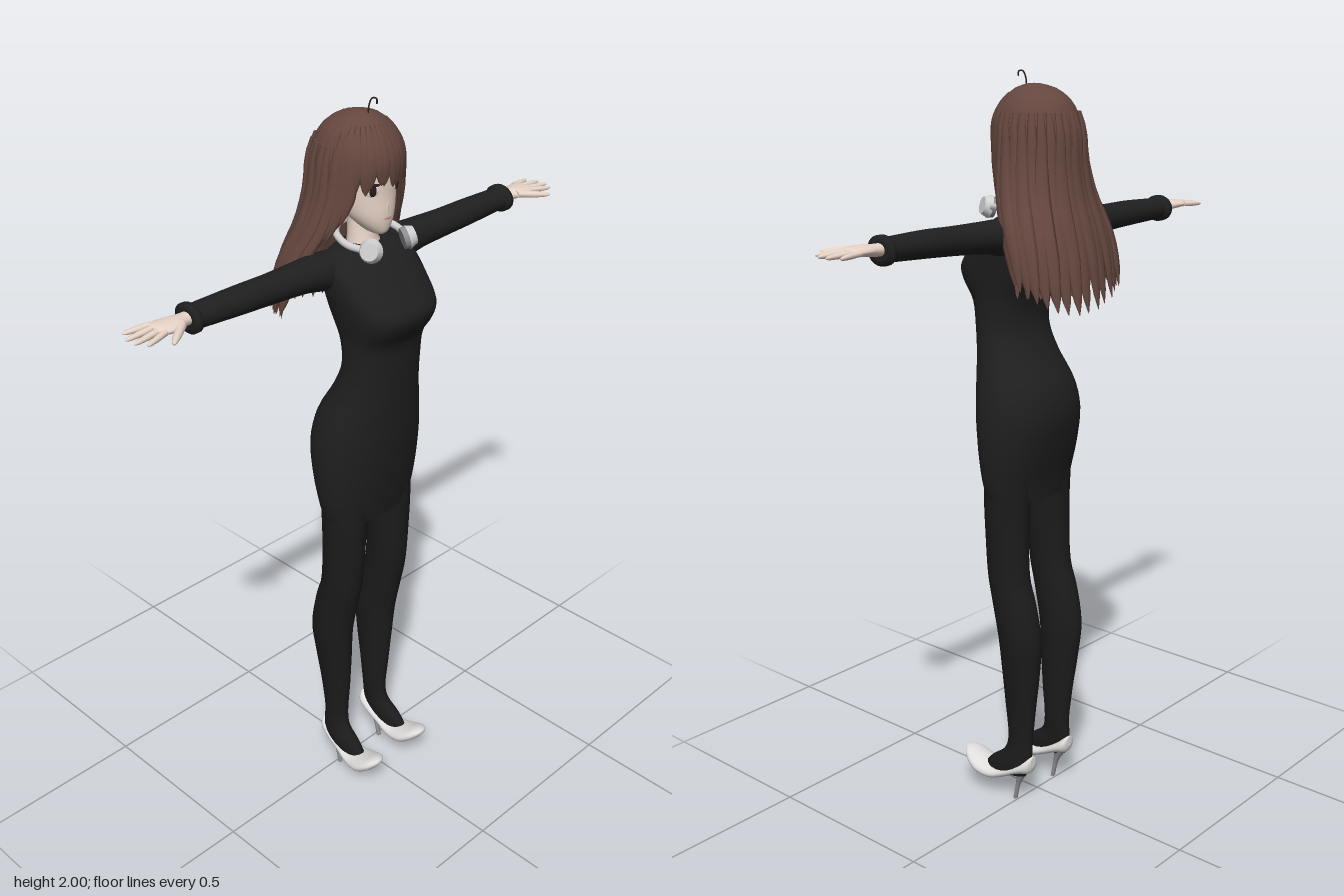
import * as THREE from 'three';

const mat = (name, color, side = THREE.FrontSide) => {
  const m = new THREE.MeshStandardMaterial({ color, side });
  m.name = name;
  return m;
};

// Catmull-Rom refinement of a table of section rows
function smooth(rows, k = 4) {
  const out = [], at = i => rows[Math.max(0, Math.min(rows.length - 1, i))];
  for (let i = 0; i < rows.length - 1; i++) for (let s = 0; s < k; s++) {
    const t = s / k, [p, a, b, n] = [at(i - 1), at(i), at(i + 1), at(i + 2)];
    out.push(a.map((v, c) => v + 0.5 * t * (b[c] - p[c] + t * (2 * p[c] - 5 * v + 4 * b[c] - n[c]
      + t * (3 * (v - b[c]) + n[c] - p[c])))));
  }
  out.push(rows[rows.length - 1]);
  return out;
}

// Skin through cross-sections: fn(row, angle) gives a point; closed rings get end caps
function loft(rows, n, fn, closed = true) {
  let rings = rows.map((r, i) => Array.from({ length: n }, (_, j) =>
    fn(r, closed ? j / n * Math.PI * 2 : j / (n - 1), i)));
  if (closed) {
    const centre = ring => {
      const c = [0, 1, 2].map(k => ring.reduce((s, p) => s + p[k], 0) / n);
      return ring.map(() => c);
    };
    const a = rings[0], b = rings[rings.length - 1];
    rings = [centre(a), a, ...rings, b, centre(b)];
  }
  const index = [];
  for (let i = 0; i < rings.length - 1; i++) for (let j = 0; j < (closed ? n : n - 1); j++) {
    const a = i * n + j, c = i * n + (j + 1) % n;
    index.push(a, a + n, c, a + n, c + n, c);
  }
  const g = new THREE.BufferGeometry();
  g.setAttribute('position', new THREE.Float32BufferAttribute(rings.flat(2), 3));
  g.setIndex(index);
  g.computeVertexNormals();
  return g;
}

// Mirror a geometry in x and keep its faces outward
function mirror(geo) {
  const g = geo.clone().scale(-1, 1, 1), ix = g.index.array;
  for (let i = 0; i < ix.length; i += 3) [ix[i], ix[i + 1]] = [ix[i + 1], ix[i]];
  g.computeVertexNormals();
  return g;
}

const pw = (v, e) => Math.sign(v) * Math.abs(v) ** e;
const { cos, sin, PI } = Math;
// Rows: y, half width, front z, back z, squareness
const bodyRing = ([y, rx, f, b, e], a) => [rx * pw(cos(a), e), y, (f + b) / 2 + (f - b) / 2 * pw(sin(a), e)];
// Rows: y, centre x, half width, front z, back z
const legRing = ([y, x, rx, f, b], a) => [x + rx * cos(a), y, (f + b) / 2 + (f - b) / 2 * sin(a)];
// Rows: x, centre y, half height, centre z, half depth
const armRing = ([x, y, ry, z, rz], a) => [x, y + ry * cos(a), z - rz * sin(a)];
// Rows: z, bottom y, top y, half width
const shoeRing = ([z, b, t, w], a) => [0.083 + 0.05 * z + w * cos(a), (b + t) / 2 - (t - b) / 2 * sin(a), z];

// Hair surface: y, half width, centre z, half depth
const hairTable = smooth([
  [1.967, 0.012, 0.01, 0.012], [1.955, 0.05, 0.005, 0.053], [1.925, 0.083, 0, 0.089], [1.885, 0.102, 0, 0.109],
  [1.84, 0.108, -0.003, 0.116], [1.78, 0.113, -0.006, 0.113], [1.7, 0.132, -0.022, 0.108], [1.62, 0.16, -0.055, 0.1],
  [1.54, 0.175, -0.08, 0.096], [1.41, 0.186, -0.105, 0.094]], 8);
function hairAt(theta, y, lift = 0) {
  let i = 0;
  while (i < hairTable.length - 2 && hairTable[i + 1][0] > y) i++;
  const p = hairTable[i], q = hairTable[i + 1], t = (y - p[0]) / (q[0] - p[0]);
  const [rx, cz, rz] = [1, 2, 3].map(c => p[c] + (q[c] - p[c]) * t);
  return [sin(theta) * (rx + lift), y, cz - cos(theta) * (rz + lift)];
}
// One flattened lock lying on the hair surface, pointed at the tip
function lock(theta, y0, y1, width, thick, drift = 0, lift = 0.002) {
  const rows = Array.from({ length: 15 }, (_, i) => [i / 14]);
  return loft(rows, 8, ([t], a) => {
    const th = theta + drift * t * t;
    const [x, y, z] = hairAt(th, y0 + (y1 - y0) * t, lift);
    const w = width * (0.35 + 0.65 * sin(Math.min(1, t * 1.5) * PI / 2)) * (t > 0.7 ? Math.sqrt(Math.max(0.002, (1 - t) / 0.3)) : 1);
    const h = thick * Math.min(1, w / width);
    const u = h * cos(a), v = -w * sin(a);
    return [x + sin(th) * u + cos(th) * v, y, z - cos(th) * u + sin(th) * v];
  });
}

export function createModel() {
  const root = new THREE.Group();
  root.name = 'woman';
  const hair = mat('brown hair', 0x65473f, THREE.DoubleSide), skin = mat('skin', 0xead6c9);
  const black = mat('black dress', 0x1f1f1f), tights = mat('black tights', 0x1b1b1c);
  const white = mat('shoe white', 0xdedddb), silver = mat('headphone silver', 0xcfcfcf);
  const grey = mat('heel grey', 0x8d8d92), dark = mat('eye dark', 0x2a1b18);
  const eyeWhite = mat('eye white', 0xf2eeea), lip = mat('lip', 0xb9837a);

  const add = (name, geo, m, parent = root) => {
    const mesh = new THREE.Mesh(geo, m);
    mesh.name = name;
    parent.add(mesh);
    return mesh;
  };
  const pair = (name, geo, m) => { add('left' + name, geo, m); add('right' + name, mirror(geo), m); };

  // Dress
  add('dress', loft(smooth([
    [0.89, 0.138, 0.1, -0.035, 0.85], [0.95, 0.155, 0.112, -0.045, 0.9], [1.03, 0.164, 0.125, -0.065, 0.9],
    [1.12, 0.163, 0.138, -0.08, 0.9], [1.2, 0.148, 0.146, -0.066, 0.9], [1.28, 0.124, 0.153, -0.02, 0.9],
    [1.35, 0.113, 0.16, 0.008, 0.9], [1.42, 0.114, 0.168, 0.004, 0.85], [1.47, 0.122, 0.197, -0.016, 0.78],
    [1.51, 0.128, 0.203, -0.032, 0.76], [1.56, 0.134, 0.166, -0.045, 0.82], [1.61, 0.13, 0.122, -0.048, 0.9],
    [1.64, 0.1, 0.088, -0.04, 1], [1.652, 0.05, 0.058, -0.02, 1]]), 48, bodyRing), black);

  // Sleeves and cuffs
  pair('Sleeve', loft(smooth([
    [0.07, 1.597, 0.045, 0.005, 0.045], [0.14, 1.599, 0.046, 0.004, 0.05], [0.2, 1.604, 0.04, 0.005, 0.045],
    [0.3, 1.607, 0.036, 0.008, 0.039], [0.4, 1.61, 0.034, 0.009, 0.037], [0.53, 1.611, 0.029, 0.006, 0.034]]), 24, armRing), black);
  pair('Cuff', loft([[0.522, 1.611, 0.028, 0.006, 0.032], [0.53, 1.611, 0.036, 0.006, 0.043],
    [0.542, 1.611, 0.036, 0.006, 0.044], [0.546, 1.611, 0.025, 0.006, 0.03]], 24, armRing), black);

  // Hands
  pair('Palm', loft(smooth([[0.52, 1.613, 0.016, 0.006, 0.019], [0.56, 1.614, 0.015, 0.008, 0.021],
    [0.59, 1.616, 0.014, 0.013, 0.033], [0.63, 1.617, 0.01, 0.01, 0.035], [0.64, 1.617, 0.005, 0.01, 0.03]]), 18, armRing), skin);
  [[0.625, -0.018, 0.695, -0.03], [0.63, 0, 0.71, 0.001], [0.63, 0.02, 0.708, 0.03], [0.625, 0.036, 0.692, 0.056],
    [0.575, 0.03, 0.648, 0.088]].forEach(([x0, z0, x1, z1], i) => {
    const r = i === 4 ? 0.011 : 0.0085, at = t => [x0 + (x1 - x0) * t, 1.617 - 0.004 * t, 0, z0 + (z1 - z0) * t];
    pair(i === 4 ? 'Thumb' : 'Finger' + (i + 1), loft([[0, 1], [0.5, 0.95], [0.85, 0.7], [0.97, 0.4], [1, 0.1]].map(([t, s]) => {
      const p = at(t);
      return [p[0], p[1], r * s * 0.9, p[3], r * s * (i === 4 ? 1.3 : 1)];
    }), 10, armRing), skin);
  });

  // Legs and feet
  pair('Leg', loft(smooth([
    [0.085, 0.087, 0.026, 0.115, -0.03], [0.115, 0.086, 0.028, 0.088, -0.044], [0.15, 0.083, 0.026, 0.045, -0.048],
    [0.2, 0.079, 0.027, 0.032, -0.047], [0.3, 0.08, 0.033, 0.04, -0.058], [0.4, 0.083, 0.042, 0.046, -0.071],
    [0.5, 0.087, 0.05, 0.052, -0.078], [0.6, 0.088, 0.05, 0.072, -0.06], [0.68, 0.087, 0.05, 0.088, -0.036],
    [0.8, 0.085, 0.054, 0.096, -0.03], [0.9, 0.083, 0.058, 0.1, -0.032], [1, 0.08, 0.06, 0.1, -0.04]]), 28, legRing), tights);

  // Shoes with stiletto heels
  pair('Shoe', loft(smooth([
    [-0.054, 0.118, 0.148, 0.01], [-0.045, 0.098, 0.147, 0.025], [-0.015, 0.088, 0.125, 0.031], [0.03, 0.066, 0.1, 0.033],
    [0.075, 0.048, 0.088, 0.041], [0.12, 0.05, 0.1, 0.046], [0.155, 0.073, 0.115, 0.037], [0.175, 0.096, 0.118, 0.02],
    [0.181, 0.106, 0.115, 0.006]]), 24, shoeRing), white);
  pair('Heel', loft(smooth([[0, 0.083, 0.007, 0.016, 0.004], [0.05, 0.083, 0.007, 0.006, -0.008],
    [0.085, 0.083, 0.012, 0.002, -0.03], [0.11, 0.083, 0.02, 0, -0.045]]), 12, legRing), grey);

  // Neck and head
  add('neck', loft([[1.6, 0.05, 0.075, -0.03, 1], [1.645, 0.045, 0.066, -0.022, 1], [1.665, 0.036, 0.05, -0.02, 1],
    [1.74, 0.036, 0.05, -0.02, 1]], 24, bodyRing), skin);
  add('head', loft(smooth([
    [1.682, 0.012, 0.088, 0.06, 1], [1.69, 0.027, 0.096, 0.03, 1], [1.712, 0.048, 0.101, 0, 1], [1.74, 0.066, 0.102, -0.04, 1],
    [1.78, 0.077, 0.099, -0.07, 0.95], [1.82, 0.081, 0.098, -0.08, 0.95], [1.87, 0.078, 0.092, -0.08, 1],
    [1.92, 0.05, 0.06, -0.05, 1]]), 32, bodyRing), skin);
  add('nose', new THREE.ConeGeometry(0.008, 0.032, 10).rotateX(0.3).translate(0, 1.755, 0.1), skin);
  const plate = (w, h, x, y, z, turn) => new THREE.SphereGeometry(1, 20, 10).scale(w, h, 0.004).rotateY(turn).translate(x, y, z);
  pair('EyeWhite', plate(0.018, 0.014, 0.04, 1.797, 0.088, 0.4), eyeWhite);
  pair('Iris', plate(0.011, 0.014, 0.04, 1.798, 0.0895, 0.4), dark);
  pair('UpperLash', plate(0.021, 0.004, 0.041, 1.811, 0.089, 0.4), dark);
  add('mouth', plate(0.013, 0.003, 0, 1.725, 0.1005, 0), lip);

  // Hair: crown, long sheet at the back, locks and fringe
  const hairGroup = new THREE.Group();
  hairGroup.name = 'hair';
  root.add(hairGroup);
  const crownRows = [1.835, 1.86, 1.885, 1.91, 1.93, 1.945, 1.956, 1.963, 1.967].map(y => [y]);
  add('crown', loft(crownRows, 72, ([y], a) => hairAt(PI / 2 + a, y, 0.0012 * cos(a * 24))), hair, hairGroup);
  const sheetRows = Array.from({ length: 22 }, (_, i) => [i / 21]);
  add('backSheet', loft(sheetRows, 81, ([t], u) => {
    const th = (u * 2 - 1) * (2.02 - 0.35 * t);
    return hairAt(th, 1.89 - t * (0.4 + 0.03 * cos(u * 70)), -0.004 + 0.003 * t * cos(u * 50));
  }, false), hair, hairGroup);
  for (let i = 0; i < 19; i++) {
    const u = i / 9 - 1, r = sin(i * 12.99) * 0.5 + 0.5;
    add('backLock', lock(u * 1.85, 1.9, 1.415 + 0.045 * r + 0.03 * u * u, 0.023, 0.009 + 0.004 * r,
      -u * 0.22, 0.002 + 0.004 * (i % 2)), hair, hairGroup);
  }
  for (let i = 0; i < 13; i++) {
    const u = i / 6 - 1, r = sin(i * 7.7) * 0.5 + 0.5;
    add('fringeLock', lock(PI + u * 1.0, 1.945, 1.815 - 0.045 * u ** 4 - 0.014 * r, 0.016, 0.005, 0.06 * sin(i * 3)), hair, hairGroup);
  }
  for (const s of [-1, 1]) for (let k = 0; k < 3; k++)
    add('sideLock', lock(s * (2.2 - k * 0.14), 1.93, 1.71 - k * 0.045, 0.02, 0.006, -s * 0.08), hair, hairGroup);
  add('strayCurl', new THREE.TubeGeometry(new THREE.CatmullRomCurve3([[0, 1.96, 0.035], [0.006, 1.98, 0.032],
    [0.012, 1.996, 0.036], [0.016, 1.996, 0.046], [0.016, 1.984, 0.048]].map(p => new THREE.Vector3(...p))), 16, 0.002, 6), dark, hairGroup);

  // Headphones resting round the neck
  const band = [[0.068, 1.66, 0.1], [0.085, 1.667, 0.05], [0.072, 1.678, 0], [0.04, 1.686, -0.028]];
  const bandPath = [...band, [0, 1.688, -0.036], ...band.map(([x, y, z]) => [-x, y, z]).reverse()];
  add('headband', new THREE.TubeGeometry(new THREE.CatmullRomCurve3(bandPath.map(p => new THREE.Vector3(...p))), 48, 0.009, 10), silver);
  const cup = (r0, r1, h, off) => new THREE.CylinderGeometry(r0, r1, h, 28).translate(0, off, 0)
    .rotateZ(-PI / 2 + 0.25).rotateY(-0.5).translate(0.064, 1.661, 0.108);
  pair('EarCup', cup(0.022, 0.03, 0.02, 0.008), silver);
  pair('EarPad', cup(0.028, 0.026, 0.012, -0.008), grey);

  return root;
}
